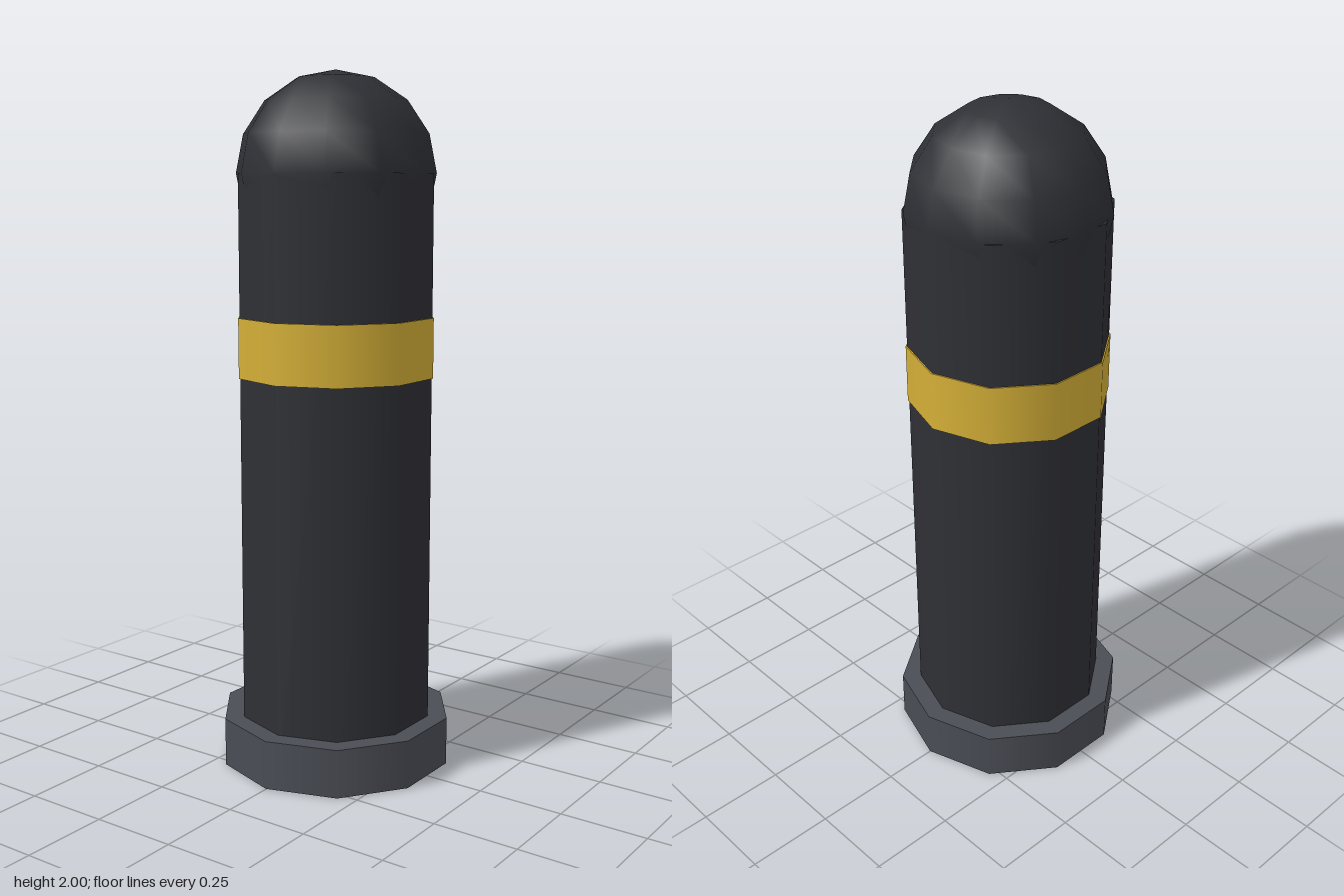
import * as THREE from 'three';

const SIDES = 10;

export function createModel() {
  const group = new THREE.Group();
  const dark = new THREE.MeshStandardMaterial({ color: 0x2f3035 });
  const grey = new THREE.MeshStandardMaterial({ color: 0x4a4d55 });
  const gold = new THREE.MeshStandardMaterial({ color: 0xd4af37 });

  // ten-sided smooth cylinder from y0 to y1, with corners on the x axis
  function addCylinder(name, radius, y0, y1, material) {
    const geometry = new THREE.CylinderGeometry(radius, radius, y1 - y0, SIDES);
    geometry.rotateY(Math.PI / 2);
    const mesh = new THREE.Mesh(geometry, material);
    mesh.name = name;
    mesh.position.y = (y0 + y1) / 2;
    group.add(mesh);
  }

  // foot sits a hair above the post's end so their undersides do not coincide
  addCylinder('baseFoot', 0.341, 0.001, 0.142, grey);
  addCylinder('post', 0.284, 0, 1.716, dark);
  addCylinder('band', 0.288, 1.145, 1.316, gold);

  // rounded cap: a sphere sunk halfway into the post
  const cap = new THREE.Mesh(new THREE.SphereGeometry(0.284, 12, 8), dark);
  cap.name = 'domeCap';
  cap.position.y = 1.716;
  group.add(cap);

  return group;
}
